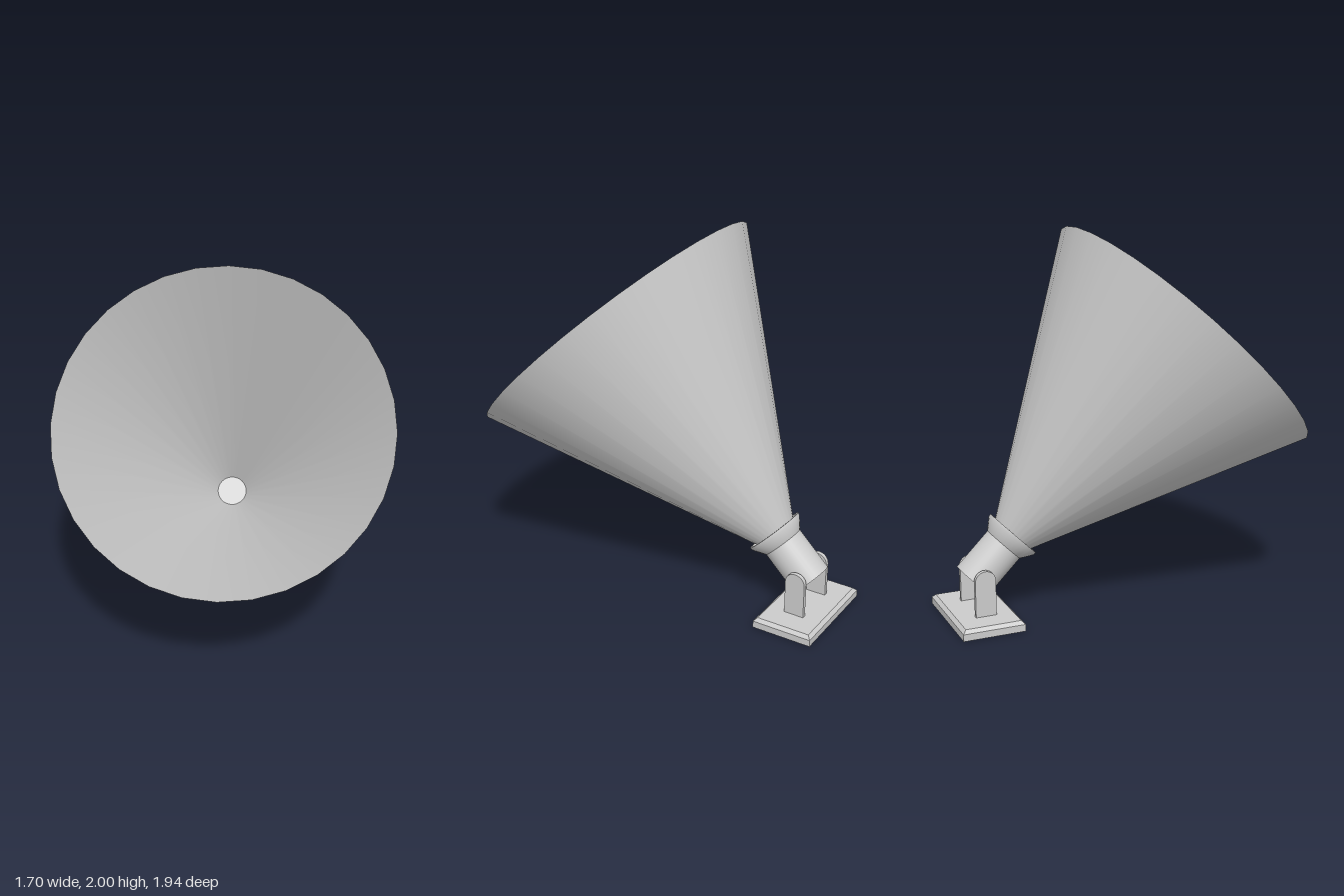
import * as THREE from 'three';
import { toCreasedNormals } from 'three/addons/utils/BufferGeometryUtils.js';

const BASE_Z = -0.805;
const SIDES = 32;

export function createModel() {
  const model = new THREE.Group();
  model.name = 'spotlight';
  const grey = new THREE.MeshStandardMaterial({ color: 0xcccccc });
  const greyDouble = new THREE.MeshStandardMaterial({ color: 0xcccccc, side: THREE.DoubleSide });

  const add = (parent, name, geometry, material = grey) => {
    const mesh = new THREE.Mesh(geometry, material);
    mesh.name = name;
    parent.add(mesh);
    return mesh;
  };
  const lathe = (points) =>
    new THREE.LatheGeometry(points.map(([r, y]) => new THREE.Vector2(r, y)), SIDES);

  // Base plate: a slab whose top edges are chamfered
  const slab = new THREE.BoxGeometry(0.556, 2, 0.33, 1, 2, 1).toNonIndexed();
  const pos = slab.attributes.position;
  for (let i = 0; i < pos.count; i++) {
    const level = Math.round(pos.getY(i)) + 1;
    pos.setY(i, [0, 0.037, 0.055][level]);
    if (level === 2) {
      pos.setX(i, pos.getX(i) - Math.sign(pos.getX(i)) * 0.018);
      pos.setZ(i, pos.getZ(i) - Math.sign(pos.getZ(i)) * 0.018);
    }
  }
  slab.computeVertexNormals();
  add(model, 'basePlate', slab).position.z = BASE_Z;

  // Two upright bracket arms with round tops
  const outline = new THREE.Shape();
  outline.moveTo(-0.055, 0.05);
  outline.lineTo(0.055, 0.05);
  outline.lineTo(0.055, 0.242);
  outline.absarc(0, 0.242, 0.055, 0, Math.PI, false);
  outline.closePath();
  const armGeometry = new THREE.ExtrudeGeometry(outline, {
    depth: 0.023, bevelEnabled: false, curveSegments: 8,
  });
  armGeometry.translate(0, 0, -0.0115).rotateY(Math.PI / 2);
  for (const [name, side] of [['leftArm', 1], ['rightArm', -1]]) {
    add(model, name, armGeometry).position.set(side * 0.126, 0, BASE_Z + 0.003);
  }

  // Lamp head, built along y from its back end and tilted forward
  const head = new THREE.Group();
  head.name = 'lampHead';
  head.position.set(0, 0.207, -0.825);
  head.rotation.x = Math.PI / 4;
  model.add(head);

  const body = new THREE.CylinderGeometry(0.11, 0.11, 0.243, SIDES);
  add(head, 'lampBody', body).position.y = 0.1215;

  // Flared hollow collar with a flat lip
  const collar = lathe([
    [0.108, 0.238], [0.118, 0.25], [0.153, 0.3], [0.156, 0.317], [0.143, 0.317], [0.1, 0.243],
  ]);
  add(head, 'collar', toCreasedNormals(collar, 0.5), greyDouble);

  // Open light cone
  add(head, 'lightCone', lathe([[0.083, 0.243], [0.849, 1.686]]), greyDouble);

  return model;
}
